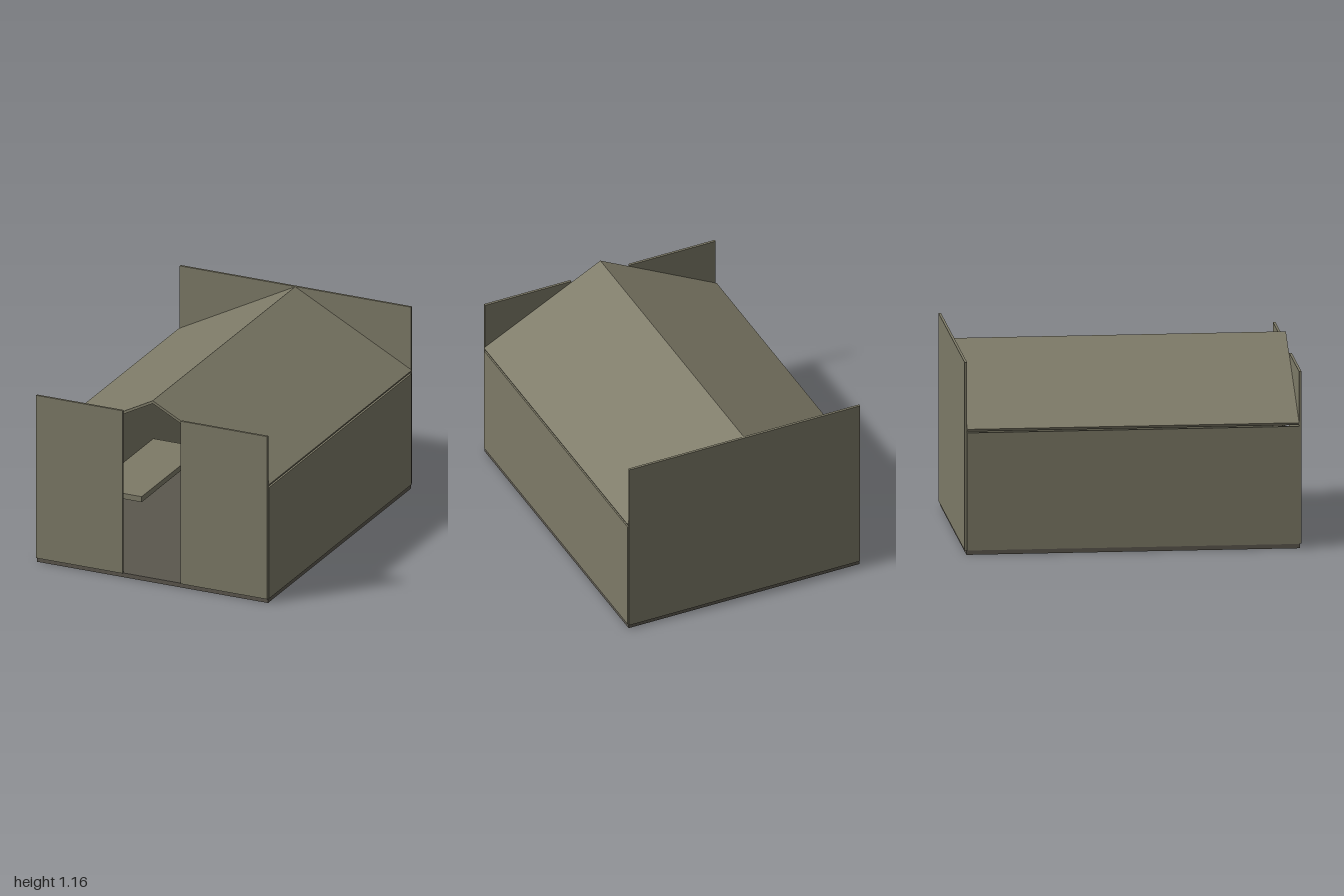
import * as THREE from 'three';

export function createModel() {
  const model = new THREE.Group();
  const wall = new THREE.MeshStandardMaterial({ name: 'wall panel', color: 0x7d7a67 });
  const dark = new THREE.MeshStandardMaterial({ name: 'dark floor and fittings', color: 0x5b574e });
  const yellow = new THREE.MeshStandardMaterial({ name: 'pale yellow panel', color: 0x999067 });

  // Box given by its lower and upper corners
  function box(name, material, [x0, y0, z0], [x1, y1, z1], parent = model) {
    const mesh = new THREE.Mesh(new THREE.BoxGeometry(x1 - x0, y1 - y0, z1 - z0), material);
    mesh.position.set((x0 + x1) / 2, (y0 + y1) / 2, (z0 + z1) / 2);
    mesh.name = name;
    parent.add(mesh);
    return mesh;
  }

  // Shell
  box('floor', dark, [-0.755, 0, -0.99], [0.755, 0.027, 0.99]);
  box('backWall', wall, [-0.755, 0.027, -1], [0.755, 1.158, -0.985]);
  for (const s of [-1, 1]) {
    const side = s < 0 ? 'right' : 'left';
    const sideBox = (name, material, cx, w, y0, y1, z0, z1) =>
      box(side + name, material, [s * cx - w / 2, y0, z0], [s * cx + w / 2, y1, z1]);
    sideBox('SideWall', wall, 0.7525, 0.015, 0.027, 0.735, -0.985, 0.985);
    sideBox('FrontWall', wall, 0.4725, 0.565, 0.027, 1.065, 0.985, 1);
    // Side bench fixed to the wall
    sideBox('Bench', wall, 0.5825, 0.325, 0.165, 0.2, -0.6, 0.25);
  }

  // Gable roof made of one folded sheet
  const profile = new THREE.Shape([
    [-0.762, 0.757], [-0.755, 0.742], [0, 1.139], [0.755, 0.742], [0.762, 0.757], [0, 1.157],
  ].map(([x, y]) => new THREE.Vector2(x, y)));
  const roof = new THREE.Mesh(
    new THREE.ExtrudeGeometry(profile, { depth: 1.97, bevelEnabled: false }), wall);
  roof.position.z = -0.985;
  roof.name = 'roof';
  model.add(roof);

  // Low cabinet along the back wall
  const cabinet = new THREE.Group();
  cabinet.name = 'backCabinet';
  model.add(cabinet);
  box('cabinetBody', dark, [-0.38, 0.027, -0.985], [0.38, 0.24, -0.8], cabinet);
  box('cabinetTop', dark, [-0.4, 0.24, -0.985], [0.4, 0.258, -0.78], cabinet);
  box('cabinetPlinth', dark, [-0.39, 0.027, -0.8], [0.39, 0.04, -0.79], cabinet);
  for (const s of [-1, 1]) {
    box('cabinetDoor', yellow, [s * 0.195 - 0.145, 0.1, -0.8], [s * 0.195 + 0.145, 0.236, -0.794], cabinet);
  }

  // Framed display on the cabinet
  const display = new THREE.Group();
  display.name = 'framedDisplay';
  model.add(display);
  box('displayFrame', dark, [-0.18, 0.258, -0.92], [0.18, 0.498, -0.87], display);
  box('displayPanel', dark, [-0.165, 0.275, -0.87], [0.165, 0.485, -0.862], display);
  box('displayScreen', yellow, [-0.14, 0.335, -0.862], [0.14, 0.473, -0.857], display);

  // Stool block with its small upright handle
  box('seatBlock', dark, [-0.105, 0.027, -0.72], [0.105, 0.225, -0.52]);
  box('seatHandle', wall, [-0.015, 0.225, -0.72], [0.015, 0.265, -0.7]);

  return model;
}
